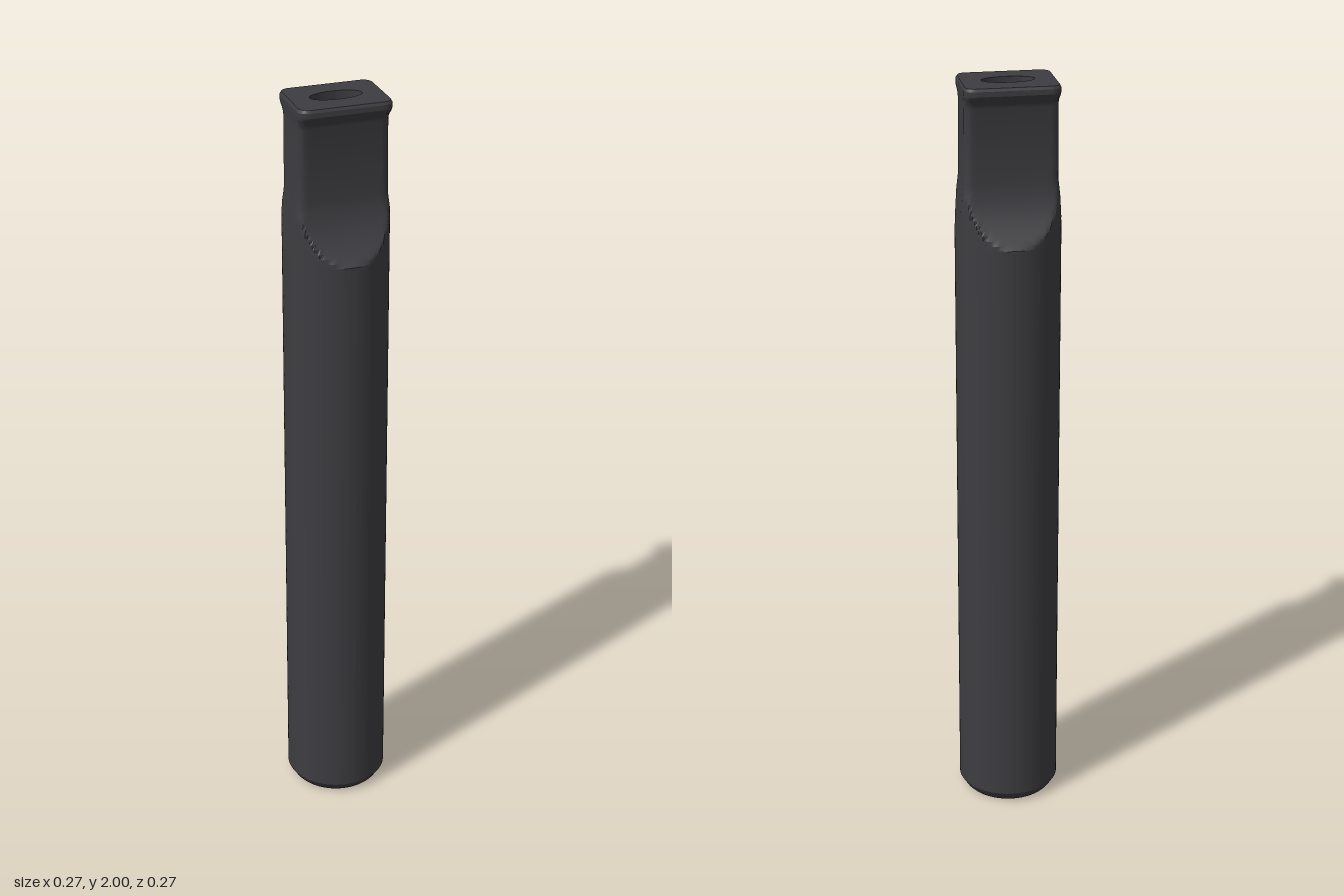
import * as THREE from 'three';
import { toCreasedNormals } from 'three/addons/utils/BufferGeometryUtils.js';

const R = 0.135; // barrel radius
const SEGMENTS = 128;

// Distance from the centre to a rounded rectangle along angle a
function roundedRect(a, hx, hz, r) {
  const c = Math.abs(Math.cos(a)), s = Math.abs(Math.sin(a));
  const d = Math.min(hx / Math.max(c, 1e-6), hz / Math.max(s, 1e-6));
  const cx = hx - r, cz = hz - r;
  if (d * c <= cx || d * s <= cz) return d;
  const b = c * cx + s * cz;
  return b + Math.sqrt(Math.max(0, b * b - cx * cx - cz * cz + r * r));
}

// Cross-sections: each has a height and a radius by angle
const ellipse = (y, rx, rz) => ({ y, radius: a => 1 / Math.hypot(Math.cos(a) / rx, Math.sin(a) / rz) });
const circle = (y, r) => ({ y, radius: () => r });
const flat = (y, hx, hz, r = 0.02, limit = R) => ({
  y, radius: a => Math.min(limit, roundedRect(a, hx, hz, r)),
});

// Joins the cross-sections, in order, into one skin
function loft(sections) {
  const pos = [], index = [], n = SEGMENTS;
  for (const { y, radius } of sections) {
    for (let j = 0; j < n; j++) {
      const a = (j / n) * Math.PI * 2, d = radius(a);
      pos.push(d * Math.cos(a), y, d * Math.sin(a));
    }
  }
  for (let i = 0; i < sections.length - 1; i++) {
    for (let j = 0; j < n; j++) {
      const k = (j + 1) % n;
      const a = i * n + j, b = i * n + k, c = a + n, d = b + n;
      index.push(a, c, b, b, c, d);
    }
  }
  const geometry = new THREE.BufferGeometry();
  geometry.setAttribute('position', new THREE.Float32BufferAttribute(pos, 3));
  geometry.setIndex(index);
  return toCreasedNormals(geometry, 0.5);
}

export function createModel() {
  const group = new THREE.Group();
  group.name = 'mouthpieceTube';
  const charcoal = new THREE.MeshStandardMaterial({ color: 0x3d3c40 });
  charcoal.name = 'charcoal';

  const add = (name, geometry) => {
    const mesh = new THREE.Mesh(geometry, charcoal);
    mesh.name = name;
    group.add(mesh);
  };

  // Round barrel with a bevelled foot
  add('barrel', loft([circle(0, 0.115), circle(0.006, 0.121), circle(0.028, R), circle(1.6, R)]));

  // Shoulder cut down to a flat neck, then a flared lip with a slot
  const neck = [];
  const steps = 14;
  for (let i = 0; i <= steps; i++) {
    const t = i / steps;
    neck.push(flat(1.6 + 0.16 * t, R - 0.016 * t, 0.066 + 0.069 * (1 - t) ** 2));
  }
  neck.push(
    flat(1.945, 0.118, 0.066),
    flat(1.955, 0.118, 0.07, 0.021, 0.136),
    flat(1.972, 0.12, 0.085, 0.024, 0.139),
    flat(1.98, 0.121, 0.09, 0.026, 0.142),
    flat(1.993, 0.121, 0.09, 0.026, 0.142),
    flat(2, 0.117, 0.086, 0.023, 0.138),
    ellipse(2, 0.067, 0.03),
  );
  add('mouthpiece', loft(neck));

  // Air channel: oval slot at the top, round bore, wider chamber at the foot
  add('airChannel', loft([
    ellipse(2, 0.067, 0.03), ellipse(1.75, 0.06, 0.035), circle(1.6, 0.05),
    circle(0.12, 0.05), circle(0.1, 0.09), circle(0.05, 0.09),
  ]));

  // Foot plate with four air holes
  const plate = new THREE.Shape().absarc(0, 0, 0.115, 0, Math.PI * 2);
  for (const x of [-0.035, 0.035]) {
    for (const z of [-0.035, 0.035]) {
      plate.holes.push(new THREE.Path().absarc(x, z, 0.026, 0, Math.PI * 2, true));
    }
  }
  const plateGeometry = new THREE.ExtrudeGeometry(plate, { depth: 0.05, bevelEnabled: false, curveSegments: 32 });
  plateGeometry.rotateX(-Math.PI / 2);
  add('footPlate', toCreasedNormals(plateGeometry, 0.6));

  return group;
}
